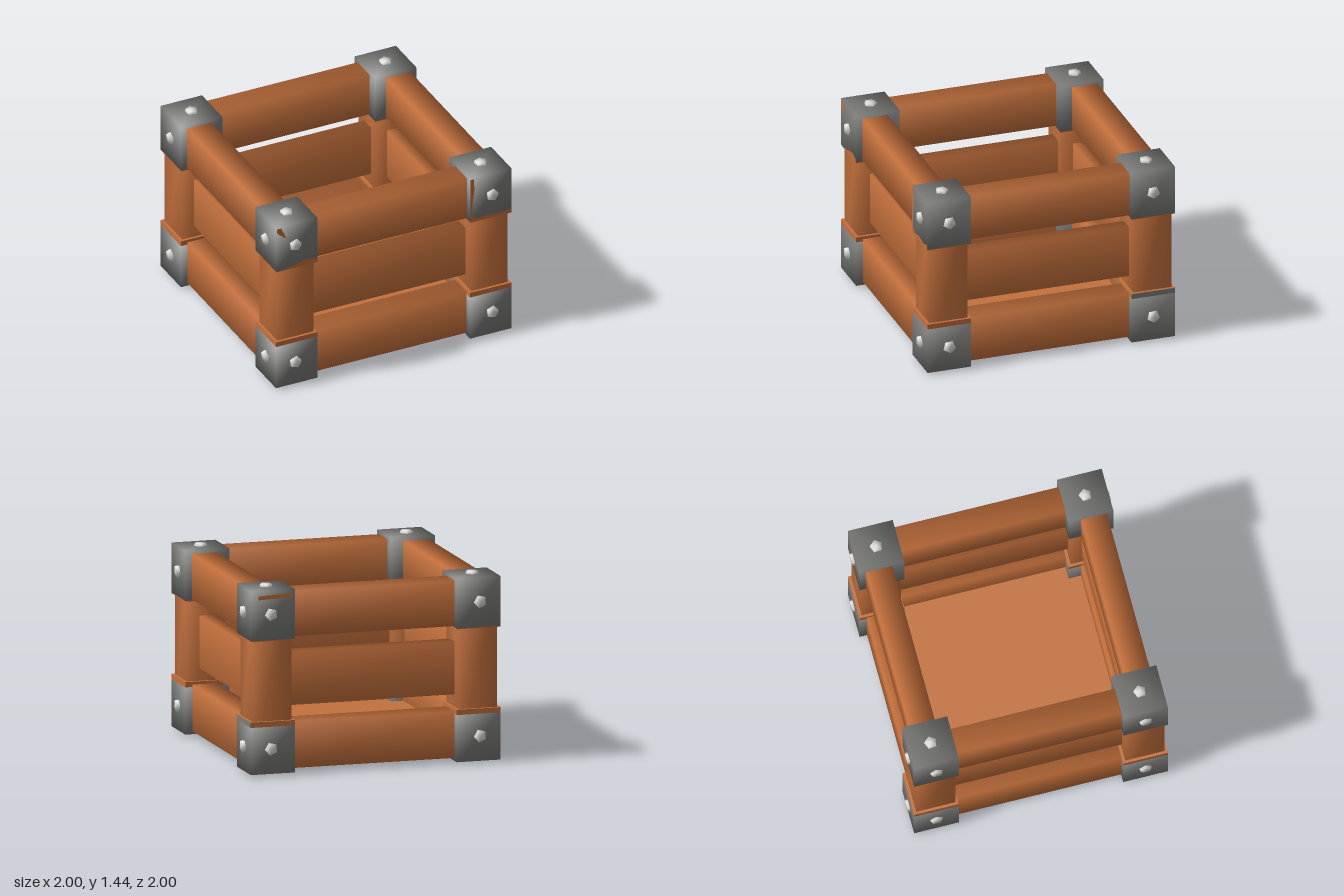
import * as THREE from 'three';
import { mergeVertices } from 'three/addons/utils/BufferGeometryUtils.js';

const wood = new THREE.MeshStandardMaterial({ name: 'wood', color: 0xc4703c });
const iron = new THREE.MeshStandardMaterial({ name: 'iron', color: 0x7b7c7a });
const steel = new THREE.MeshStandardMaterial({ name: 'steel', color: 0xdededc });

// Shares corners so the shading rolls softly over the edges
function soften(geometry) {
  geometry.deleteAttribute('normal');
  geometry.deleteAttribute('uv');
  const merged = mergeVertices(geometry, 1e-4);
  merged.computeVertexNormals();
  return merged;
}

const softBox = (w, h, d) => soften(new THREE.BoxGeometry(w, h, d));

function add(parent, name, geometry, material, x, y, z) {
  const mesh = new THREE.Mesh(geometry, material);
  mesh.name = name;
  mesh.position.set(x, y, z);
  parent.add(mesh);
  return mesh;
}

// Bare wood showing on the outer face of a cap; side is 1 for front, -1 for back
function addWornPatch(parent, side, points) {
  const shape = new THREE.Shape(points.map(([x, y]) => new THREE.Vector2(x * side, y)));
  const patch = add(parent, 'wornPatch', new THREE.ShapeGeometry(shape), wood, 0, 0, side * 0.983);
  patch.rotation.y = side > 0 ? 0 : Math.PI;
}

export function createModel() {
  const crate = new THREE.Group();
  crate.name = 'openCrate';

  // Three rails on each of the four sides: name, bottom, top, inner, outer
  const rails = [
    ['lowerRail', 0.053, 0.408, 0.73, 0.925],
    ['middlePlank', 0.525, 0.928, 0.745, 0.862],
    ['upperRail', 1.06, 1.405, 0.73, 0.93],
  ];
  for (const [name, y0, y1, inner, outer] of rails) {
    const geometry = softBox(outer - inner, y1 - y0, 1.45);
    for (let side = 0; side < 4; side++) {
      const a = side * Math.PI / 2, r = (inner + outer) / 2;
      const rail = add(crate, name, geometry, wood, Math.cos(a) * r, (y0 + y1) / 2, -Math.sin(a) * r);
      rail.rotation.y = a;
    }
  }

  // Floor, set up a little from the bottom edge
  add(crate, 'floor', new THREE.BoxGeometry(1.6, 0.06, 1.6), wood, 0, 0.155, 0);

  // Corner posts, iron caps and bolts
  const post = softBox(0.303, 1.2, 0.303);
  const lowerCap = softBox(0.345, 0.36, 0.345);
  const lowerRim = new THREE.BoxGeometry(0.345, 0.04, 0.345);
  const upperCap = softBox(0.345, 0.38, 0.345);
  const upperRim = new THREE.BoxGeometry(0.345, 0.006, 0.345);
  const bolt = soften(new THREE.CylinderGeometry(0.045, 0.06, 0.05, 5));
  const up = new THREE.Vector3(0, 1, 0);

  for (const sx of [-1, 1]) {
    for (const sz of [-1, 1]) {
      const corner = new THREE.Group();
      corner.name = 'corner';
      corner.position.set(sx * 0.808, 0, sz * 0.808);
      crate.add(corner);

      add(corner, 'post', post, wood, 0, 0.73, 0);
      add(corner, 'lowerCap', lowerCap, iron, 0, 0.21, 0);
      add(corner, 'lowerCapRim', lowerRim, wood, 0, 0.41, 0);
      add(corner, 'upperCap', upperCap, iron, 0, 1.24, 0);
      add(corner, 'upperCapRim', upperRim, wood, 0, 1.047, 0);

      // One bolt on each outward face of both caps
      for (const [y, dy, end] of [[0.22, -1, 0.035], [1.245, 1, 1.425]]) {
        const bolts = [
          [[sx, 0, 0], [sx * 0.167, y, 0]],
          [[0, 0, sz], [sx * 0.012, y, sz * 0.167]],
          [[0, dy, 0], [0, end, 0]],
        ];
        for (const [n, p] of bolts) {
          const mesh = add(corner, 'bolt', bolt, steel, ...p);
          mesh.quaternion.setFromUnitVectors(up, new THREE.Vector3(...n));
          mesh.rotateY(0.4);
        }
      }
    }
  }

  // The back lower cap on the left keeps its iron up to the top on the outer side
  add(crate, 'capSidePlate', new THREE.BoxGeometry(0.004, 0.04, 0.345), iron, 0.98, 0.409, -0.808);

  // Worn spots on the upper caps
  addWornPatch(crate, 1, [
    [0.637, 1.05], [0.97, 1.05], [0.97, 1.085], [0.9, 1.065], [0.78, 1.08],
    [0.7, 1.065], [0.66, 1.09], [0.655, 1.2], [0.672, 1.33], [0.665, 1.42], [0.637, 1.42],
  ]);
  addWornPatch(crate, 1, [
    [-0.93, 1.05], [-0.64, 1.05], [-0.64, 1.075], [-0.7, 1.095], [-0.78, 1.085], [-0.86, 1.06],
  ]);
  addWornPatch(crate, 1, [[-0.975, 1.42], [-0.97, 1.38], [-0.9, 1.32], [-0.91, 1.36], [-0.94, 1.42]]);
  addWornPatch(crate, -1, [[0.92, 1.39], [0.92, 1.36], [0.65, 1.37], [0.65, 1.4]]);
  return crate;
}
